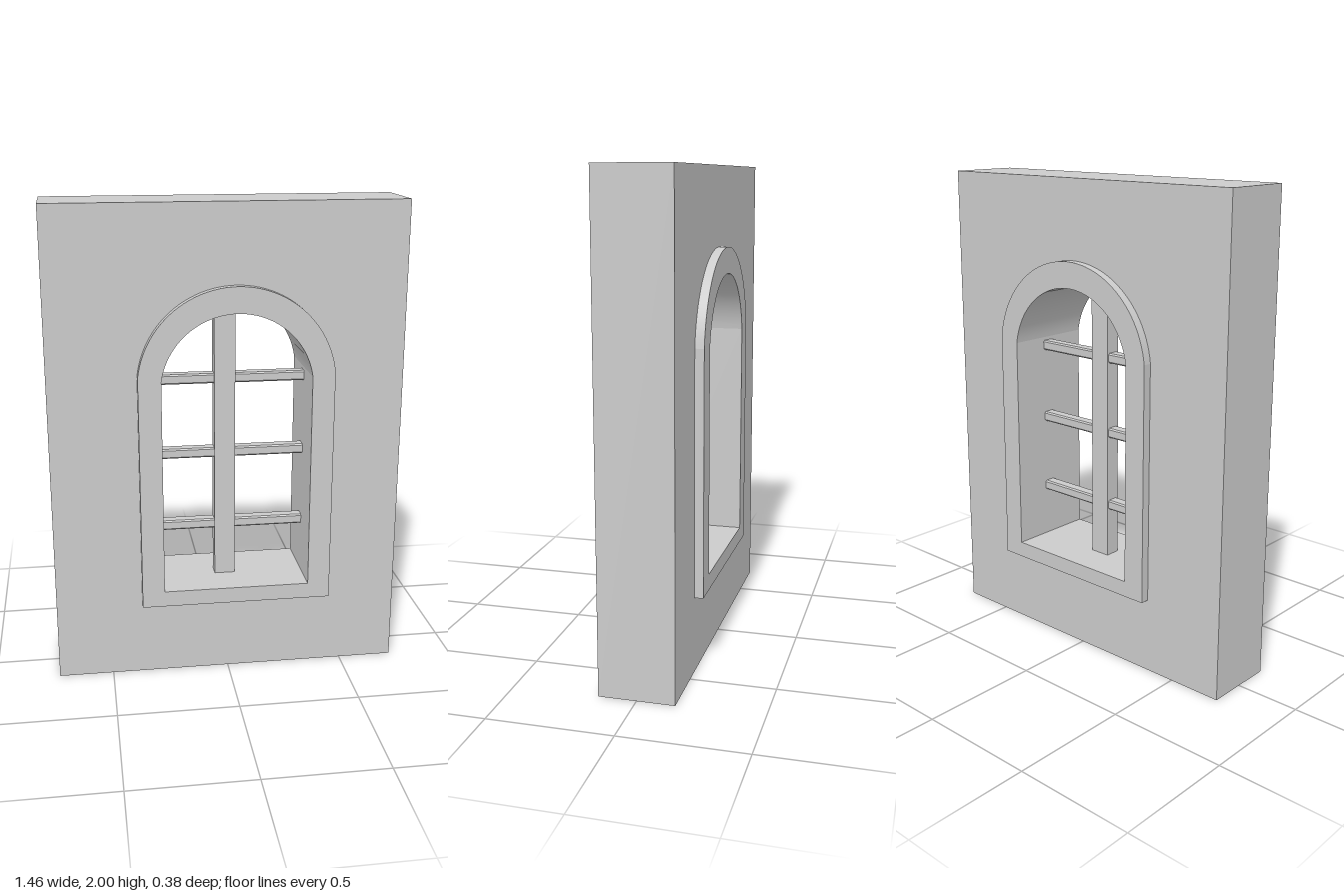
import * as THREE from 'three';
import { toCreasedNormals } from 'three/addons/utils/BufferGeometryUtils.js';

const CX = 0.034; // the opening sits slightly off the wall's centre
const material = new THREE.MeshStandardMaterial({ color: 0xcccccc });

// Straight-sided outline closed by a circular arch of the given rise
function archOutline(path, halfWidth, bottom, spring, top) {
  const rise = top - spring;
  const r = (halfWidth ** 2 + rise ** 2) / (2 * rise);
  const cy = top - r;
  const a = Math.asin((spring - cy) / r);
  path.moveTo(CX - halfWidth, bottom);
  path.lineTo(CX + halfWidth, bottom);
  path.lineTo(CX + halfWidth, spring);
  path.absarc(CX, cy, r, a, Math.PI - a, false);
  path.lineTo(CX - halfWidth, bottom);
  return path;
}

function rectangle(x0, x1, y0, y1) {
  return new THREE.Shape([
    new THREE.Vector2(x0, y0), new THREE.Vector2(x1, y0),
    new THREE.Vector2(x1, y1), new THREE.Vector2(x0, y1),
  ]);
}

// Extrusion centred on z = 0
function slab(name, shape, depth) {
  const geometry = new THREE.ExtrudeGeometry(shape, { depth, bevelEnabled: false, curveSegments: 24 });
  geometry.translate(0, 0, -depth / 2);
  const mesh = new THREE.Mesh(toCreasedNormals(geometry, 0.1), material);
  mesh.name = name;
  return mesh;
}

// Horizontal bar with lightly chamfered long edges
function glazingBar(y) {
  const h = 0.021, d = 0.026, c = 0.006;
  const section = new THREE.Shape([
    [-d, -h + c], [-d + c, -h], [d - c, -h], [d, -h + c],
    [d, h - c], [d - c, h], [-d + c, h], [-d, h - c],
  ].map(([x, v]) => new THREE.Vector2(x, v)));
  const length = 0.62;
  const geometry = new THREE.ExtrudeGeometry(section, { depth: length, bevelEnabled: false });
  geometry.translate(0, 0, -length / 2);
  geometry.rotateY(Math.PI / 2);
  const bar = new THREE.Mesh(geometry, material);
  bar.position.set(CX, y, -0.004);
  return bar;
}

export function createModel() {
  const model = new THREE.Group();
  model.name = 'archedWindowWall';

  // Wall, its hole hidden inside the thickness of the frame
  const wallShape = rectangle(-0.73, 0.73, 0, 2);
  wallShape.holes.push(archOutline(new THREE.Path(), 0.355, 0.35, 1.31, 1.62));
  model.add(slab('wall', wallShape, 0.306));

  // Frame standing proud of both wall faces and lining the opening
  const frameShape = archOutline(new THREE.Shape(), 0.402, 0.318, 1.317, 1.675);
  frameShape.holes.push(archOutline(new THREE.Path(), 0.308, 0.385, 1.3, 1.567));
  model.add(slab('windowFrame', frameShape, 0.38));

  // Upright bar from the sill into the crown of the arch
  const mullion = slab('mullion', rectangle(-0.04, 0.048, 0.38, 1.572), 0.066);
  mullion.position.z = -0.004;
  model.add(mullion);

  // Three cross bars
  const bars = new THREE.Group();
  bars.name = 'crossBars';
  [0.617, 0.941, 1.265].forEach((y, i) => {
    const bar = glazingBar(y);
    bar.name = `crossBar${i + 1}`;
    bars.add(bar);
  });
  model.add(bars);

  return model;
}
